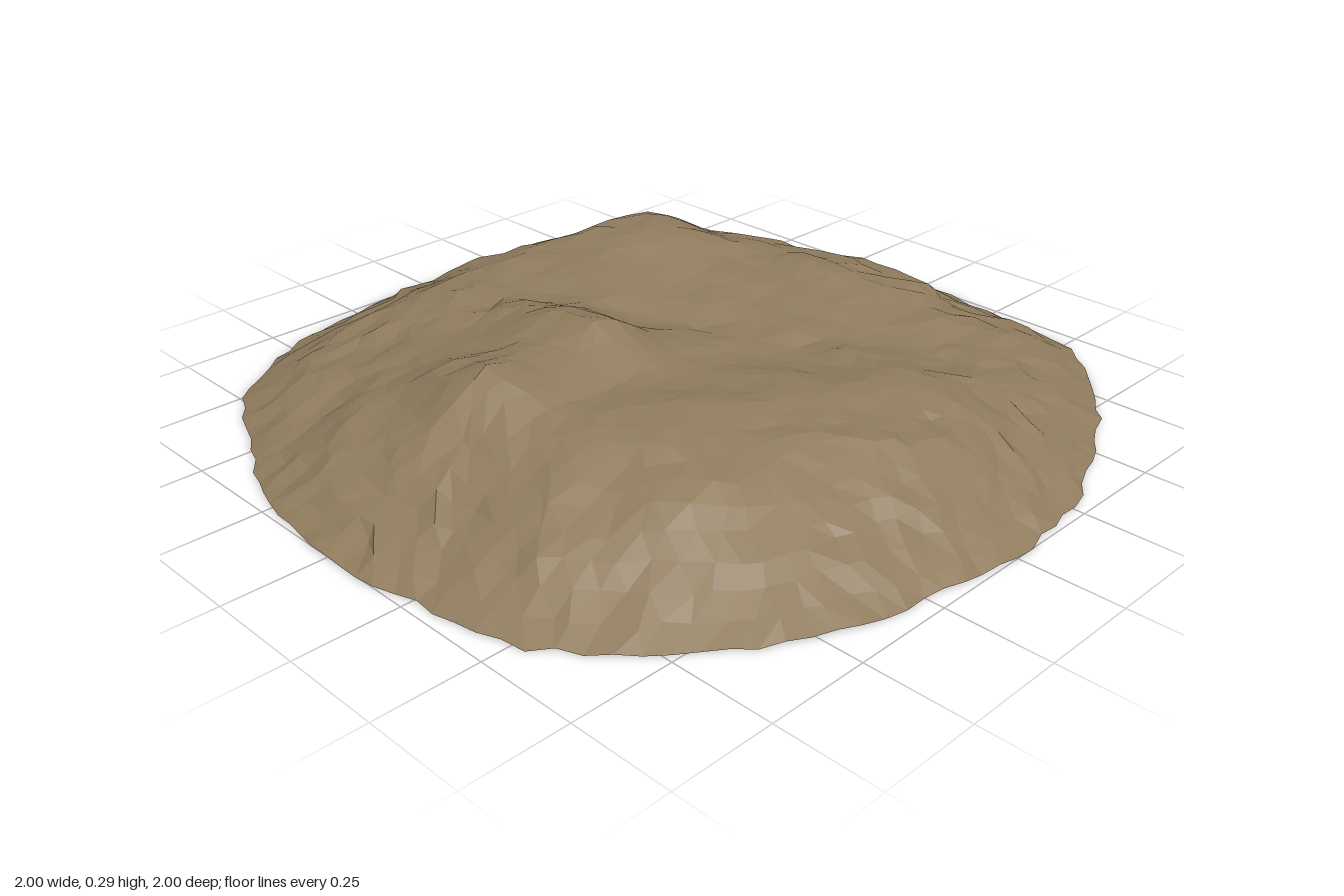
import * as THREE from 'three';

const RINGS = 20;

// Outline radius every 15 degrees, from +x round through +z
const RIM = [0.985, 1.0, 1.07, 1.035, 1.0, 1.0, 0.995, 0.99, 1.03, 1.04, 1.06, 1.01,
  1.0, 1.01, 1.0, 1.05, 1.04, 1.0, 1.0, 1.01, 1.03, 1.04, 0.99, 1.0];

// Humps and hollows: x, z, height, width in x, width in z
const HUMPS = [
  // long western ridge with a flat crest
  [-0.57, -0.02, 0.075, 0.12, 0.18],
  [-0.39, -0.03, 0.04, 0.1, 0.17],
  [-0.23, -0.06, 0.1, 0.11, 0.21],
  [-0.42, 0.36, 0.035, 0.2, 0.16],
  // north-eastern hill
  [0.33, -0.47, 0.047, 0.14, 0.14],
  [0.5, -0.6, 0.045, 0.14, 0.14],
  [0.1, -0.65, 0.015, 0.2, 0.12],
  // lip along the front
  [-0.55, 0.55, 0.03, 0.16, 0.09],
  [-0.08, 0.72, 0.025, 0.16, 0.1],
  // hollows
  [0.12, 0.12, -0.04, 0.16, 0.26],
  [-0.5, -0.5, -0.03, 0.22, 0.18],
  [0.5, 0.38, -0.055, 0.26, 0.28],
];

// Seeded value noise in the range -1..1
function hash(i, j, seed) {
  const s = Math.sin(i * 127.1 + j * 311.7 + seed * 74.7) * 43758.5453;
  return (s - Math.floor(s)) * 2 - 1;
}
function noise(x, z, seed) {
  const i = Math.floor(x), j = Math.floor(z);
  const u = THREE.MathUtils.smoothstep(x - i, 0, 1);
  const v = THREE.MathUtils.smoothstep(z - j, 0, 1);
  const lerp = THREE.MathUtils.lerp;
  return lerp(
    lerp(hash(i, j, seed), hash(i + 1, j, seed), u),
    lerp(hash(i, j + 1, seed), hash(i + 1, j + 1, seed), u), v);
}

function rimRadius(angle) {
  const t = (angle / (Math.PI * 2)) * RIM.length;
  const i = Math.floor(t);
  return THREE.MathUtils.lerp(RIM[i % RIM.length], RIM[(i + 1) % RIM.length], t - i);
}

// Ground height; t runs from 0 at the rim to 1 in the middle
function height(x, z, t) {
  let h = 0.198 * Math.sin(Math.min(1, t / 0.5) * Math.PI / 2);
  const fade = Math.min(1, t / 0.15);
  for (const [hx, hz, a, sx, sz] of HUMPS) {
    h += fade * a * Math.exp(-(((x - hx) / sx) ** 2) - ((z - hz) / sz) ** 2);
  }
  h += fade * (0.008 * noise(x * 5, z * 6, 1) + 0.013 * noise(x * 9, z * 12, 2));
  return Math.max(0.004, h);
}

// Concentric rings of 6, 12, 18... points, giving even triangles
function moundGeometry() {
  const positions = [0, height(0, 0, 1), 0];
  const index = [];
  for (let k = 1; k <= RINGS; k++) {
    const count = 6 * k;
    for (let n = 0; n < count; n++) {
      const angle = (n / count) * Math.PI * 2;
      const edge = k === RINGS;
      const r = (k / RINGS) * rimRadius(angle) + (edge ? 0.008 * hash(n, k, 5) : 0);
      const jitter = edge ? 0 : 0.015;
      const x = r * Math.cos(angle) + jitter * hash(n, k, 3);
      const z = r * Math.sin(angle) + jitter * hash(n, k, 4);
      const y = edge ? 0.004 + 0.004 * hash(n, k, 6) : height(x, z, 1 - k / RINGS);
      positions.push(x, y, z);
    }
    const outer = 1 + 3 * k * (k - 1);
    const innerCount = Math.max(1, 6 * (k - 1));
    const inner = k === 1 ? 0 : 1 + 3 * (k - 1) * (k - 2);
    for (let s = 0; s < 6; s++) {
      for (let j = 0; j < k; j++) {
        const a = outer + s * k + j;
        const b = outer + ((s * k + j + 1) % count);
        const p = inner + ((s * (k - 1) + j) % innerCount);
        index.push(p, b, a);
        if (j < k - 1) index.push(p, inner + ((s * (k - 1) + j + 1) % innerCount), b);
      }
    }
  }
  const geometry = new THREE.BufferGeometry();
  geometry.setAttribute('position', new THREE.Float32BufferAttribute(positions, 3));
  geometry.setIndex(index);
  geometry.computeVertexNormals();
  return geometry;
}

export function createModel() {
  const group = new THREE.Group();
  group.name = 'earthMound';

  // Open shell of bare earth, hollow underneath
  const earth = new THREE.MeshStandardMaterial({
    color: 0x907c5e, flatShading: true, side: THREE.DoubleSide,
  });
  earth.name = 'earth brown';
  const mound = new THREE.Mesh(moundGeometry(), earth);
  mound.name = 'mound';
  group.add(mound);
  return group;
}
